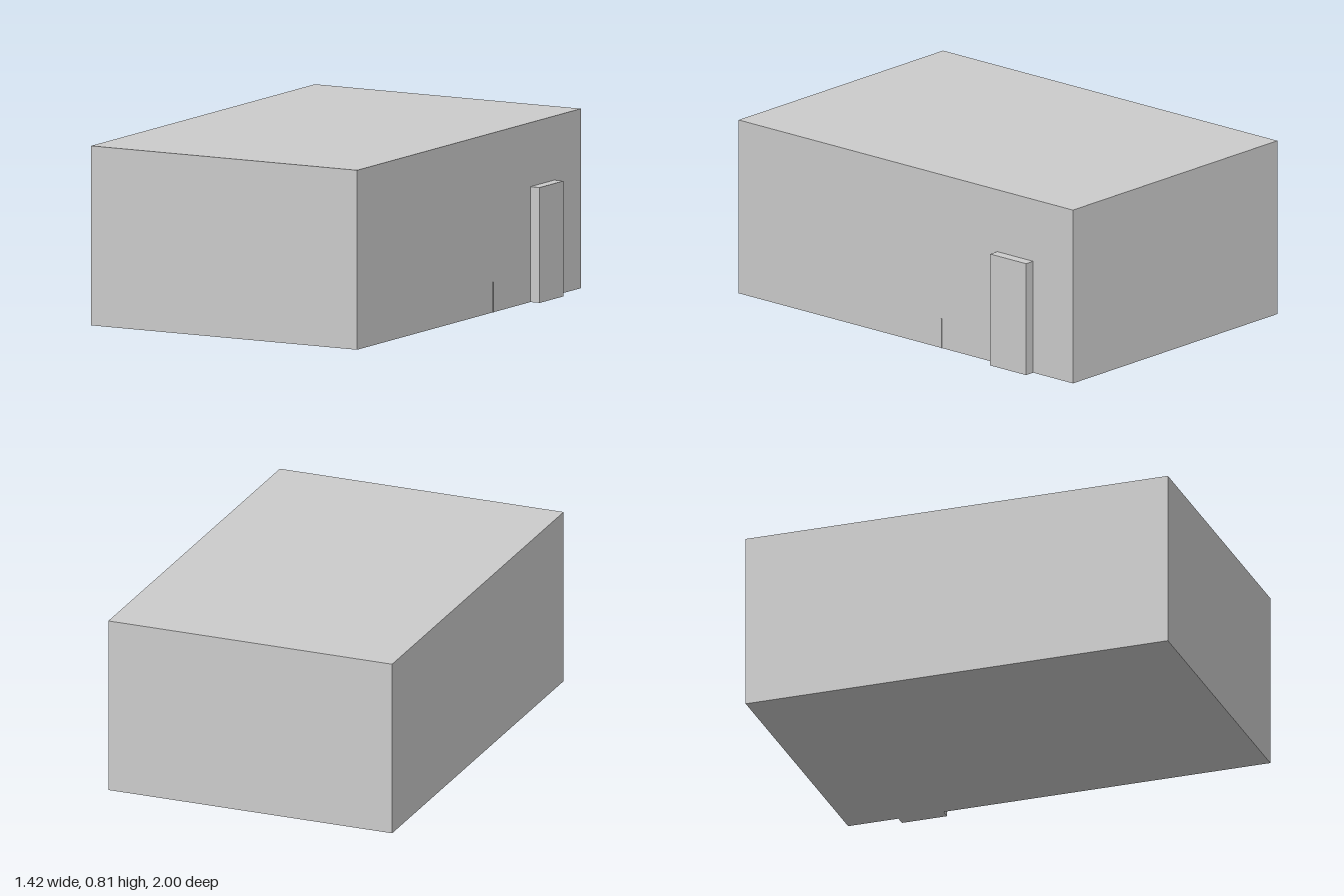
import * as THREE from 'three';

const material = new THREE.MeshStandardMaterial({ color: 0xcccccc, flatShading: true });

// Box given by its lower and upper limits on each axis
function block(name, [x0, x1], [y0, y1], [z0, z1]) {
  const mesh = new THREE.Mesh(new THREE.BoxGeometry(x1 - x0, y1 - y0, z1 - z0), material);
  mesh.position.set((x0 + x1) / 2, (y0 + y1) / 2, (z0 + z1) / 2);
  mesh.name = name;
  return mesh;
}

export function createModel() {
  const group = new THREE.Group();
  group.name = 'building';
  const wallX = 0.662;

  group.add(
    // Main rectangular volume
    block('mainBody', [-0.71, wallX], [0, 0.812], [-1, 1]),
    // Door slab standing proud of the side wall
    block('door', [wallX, 0.71], [0, 0.522], [-0.762, -0.548]),
    // Thin upright strip at the foot of the same wall
    block('wallStrip', [wallX - 0.002, wallX + 0.004], [0, 0.138], [-0.216, -0.211]),
  );
  return group;
}
